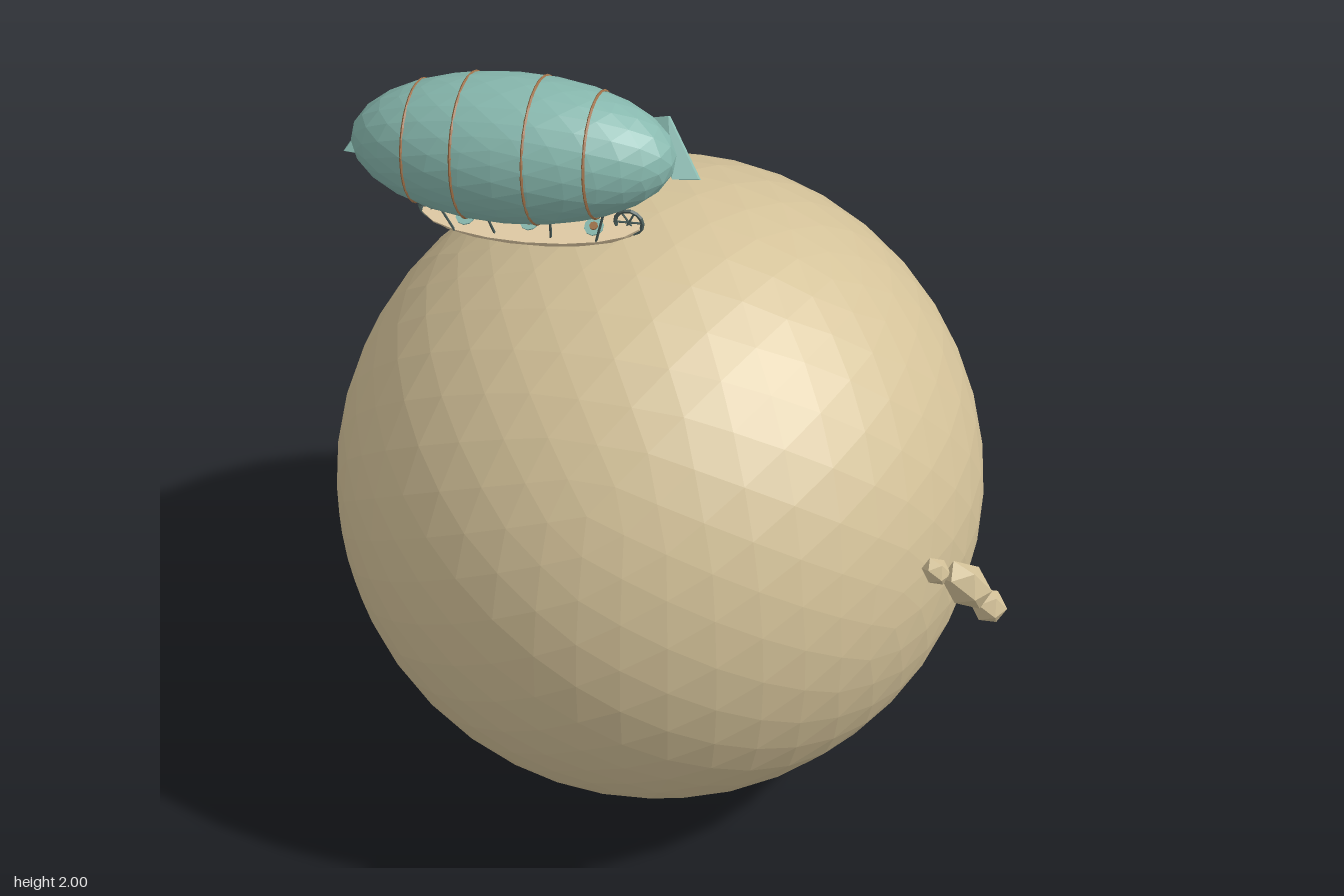
import * as THREE from 'three';
import { ConvexGeometry } from 'three/addons/geometries/ConvexGeometry.js';

const material = (name, color) => {
  const m = new THREE.MeshStandardMaterial({ color, flatShading: true });
  m.name = name;
  return m;
};

export function createModel() {
  const sand = material('sand', 0xd4c299);
  const teal = material('teal', 0x87b8ae);
  const cream = material('cream', 0xe5cfa8);
  const brown = material('brown', 0x9c6f48);
  const dark = material('dark slate', 0x4c5f5c);

  const model = new THREE.Group();
  const add = (parent, name, geometry, mat, x = 0, y = 0, z = 0) => {
    const mesh = new THREE.Mesh(geometry, mat);
    mesh.name = name;
    mesh.position.set(x, y, z);
    parent.add(mesh);
    return mesh;
  };
  // Thin straight rod between two points
  const rod = (parent, name, a, b, radius, mat) => {
    const dir = b.clone().sub(a);
    const mesh = add(parent, name, new THREE.CylinderGeometry(radius, radius, dir.length(), 5), mat);
    mesh.position.copy(a).add(b).multiplyScalar(0.5);
    mesh.quaternion.setFromUnitVectors(new THREE.Vector3(0, 1, 0), dir.normalize());
    return mesh;
  };

  // Faceted planet
  add(model, 'planet', new THREE.IcosahedronGeometry(0.66, 7), sand, -0.055, 0.66, -0.04);

  // Cluster of drifting rocks: position, half width, half length
  const drift = new THREE.Vector3(0.06, -0.12, -0.06).normalize();
  for (const [x, y, z, w, l] of [
    [0.648, 0.835, 0.345, 0.042, 0.072],
    [0.686, 0.755, 0.303, 0.034, 0.045],
    [0.592, 0.877, 0.368, 0.026, 0.036],
  ]) {
    const rock = add(model, 'rock', new THREE.IcosahedronGeometry(1, 0), sand, x, y, z);
    rock.scale.set(w, l, w);
    rock.quaternion.setFromUnitVectors(new THREE.Vector3(0, 1, 0), drift);
  }

  // Airship, slightly nose-up
  const airship = new THREE.Group();
  airship.name = 'airship';
  airship.position.set(-0.165, 1.867, 0.565);
  airship.rotation.z = 0.075;
  model.add(airship);

  const half = 0.296, radius = 0.134;
  const girth = x => radius * Math.sqrt(1 - (x / half) ** 2);
  const balloon = new THREE.IcosahedronGeometry(1, 4);
  balloon.scale(half, radius, radius);
  add(airship, 'balloon', balloon, teal);

  // Bands around the balloon
  const stations = [-0.17, -0.075, 0.055, 0.16];
  for (const x of stations) {
    const band = add(airship, 'band', new THREE.TorusGeometry(girth(x) - 0.001, 0.003, 4, 32), brown, x);
    band.rotation.y = Math.PI / 2;
  }

  // Slanted fin plate at each end
  for (const s of [-1, 1]) {
    const corners = [];
    for (const [x, y, z] of [
      [0.215, 0.015, -0.098], [0.265, 0.027, -0.095], [0.33, -0.058, -0.03], [0.285, -0.055, -0.02],
    ]) {
      corners.push(new THREE.Vector3(s * x, y, z), new THREE.Vector3(s * (x - 0.003), y + 0.003, z + 0.004));
    }
    add(airship, 'fin', new ConvexGeometry(corners), teal);
  }

  // Gondola, rolled towards the front
  const gondola = new THREE.Group();
  gondola.name = 'gondola';
  gondola.position.set(0, -0.187, -0.057);
  gondola.rotation.x = 0.49;
  airship.add(gondola);

  const hull = new THREE.SphereGeometry(1, 18, 6, 0, Math.PI * 2, Math.PI / 2, Math.PI / 2);
  hull.scale(0.206, 0.046, 0.054);
  add(gondola, 'hull', hull, cream);
  const deck = new THREE.CylinderGeometry(1, 1, 0.006, 18);
  deck.scale(0.206, 1, 0.054);
  add(gondola, 'deck', deck, cream);

  // Round deck panels with studs
  for (let i = -2; i <= 2; i++) {
    const z = i % 2 ? -0.014 : 0.012;
    add(gondola, 'deckPanel', new THREE.CylinderGeometry(0.018, 0.018, 0.004, 10), teal, i * 0.06, 0.004, z);
    add(gondola, 'deckStud', new THREE.CylinderGeometry(0.008, 0.008, 0.004, 8), brown, i * 0.06, 0.007, z);
  }

  // Spoked wheel at each end
  for (const s of [-1, 1]) {
    const wheel = new THREE.Group();
    wheel.name = 'wheel';
    wheel.position.set(s * 0.183, 0.008, 0);
    wheel.rotation.x = -0.49;
    gondola.add(wheel);
    add(wheel, 'wheelRim', new THREE.TorusGeometry(0.025, 0.004, 5, 14), dark);
    for (let i = 0; i < 3; i++) {
      const a = (i * Math.PI) / 3;
      const tip = new THREE.Vector3(Math.cos(a) * 0.025, Math.sin(a) * 0.025, 0);
      rod(wheel, 'wheelSpoke', tip.clone().negate(), tip, 0.002, dark);
    }
  }

  // Ropes from the balloon to both deck edges
  for (const x of stations) {
    for (const s of [-1, 1]) {
      const angle = 0.59 - s * 0.55;
      const r = girth(x) - 0.004;
      const top = new THREE.Vector3(x, -r * Math.cos(angle), -r * Math.sin(angle));
      const edge = new THREE.Vector3(x * 0.8, 0, s * 0.04)
        .applyAxisAngle(new THREE.Vector3(1, 0, 0), 0.49)
        .add(gondola.position);
      rod(airship, 'rope', top, edge, 0.0025, dark);
    }
  }

  return model;
}
